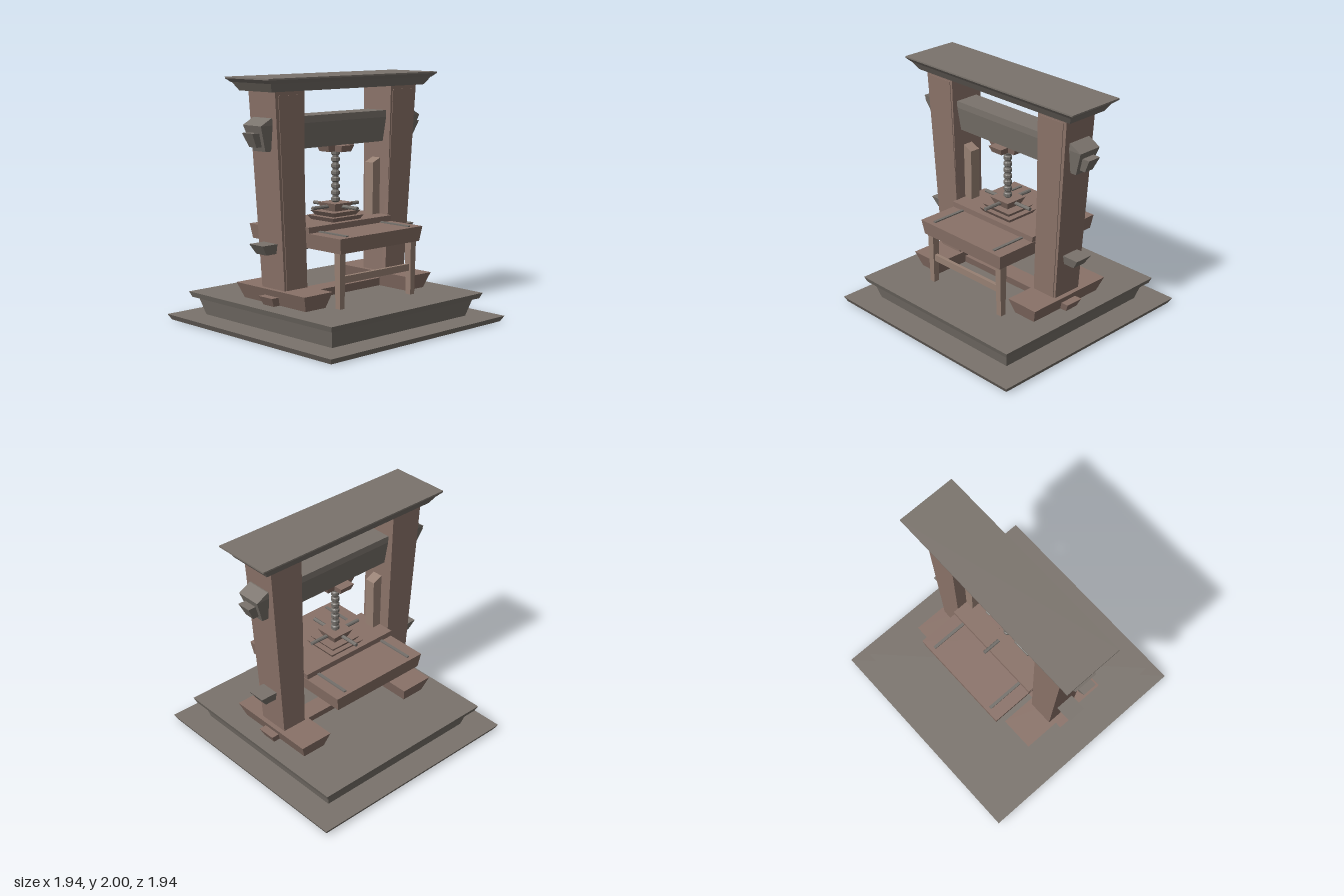
import * as THREE from 'three';

const mat = (color) => new THREE.MeshStandardMaterial({ color, flatShading: true });
const stone = mat(0x7a736c), wood = mat(0x8a7268), paleWood = mat(0x978073), iron = mat(0x74706b);

// Tapered block between two heights; each rect is [x0, x1, z0, z1]
function block(name, material, y0, bottom, y1, top) {
  const geo = new THREE.BoxGeometry(1, 1, 1);
  const p = geo.attributes.position;
  for (let i = 0; i < p.count; i++) {
    const up = p.getY(i) > 0, r = up ? top : bottom;
    p.setXYZ(i, p.getX(i) > 0 ? r[1] : r[0], up ? y1 : y0, p.getZ(i) > 0 ? r[3] : r[2]);
  }
  geo.computeVertexNormals();
  const mesh = new THREE.Mesh(geo, material);
  mesh.name = name;
  return mesh;
}

// Rect centred on the origin, from half sizes
const mid = (x, z) => [-x, x, -z, z];
// Rect on one side, from inner and outer distance
const side = (s, inner, outer, z0, z1) =>
  [Math.min(s * inner, s * outer), Math.max(s * inner, s * outer), z0, z1];

export function createModel() {
  const model = new THREE.Group();
  model.name = 'screwPress';
  const add = (...args) => model.add(block(...args));

  // Stepped base
  add('baseSlab', stone, 0, mid(0.945, 0.945), 0.045, mid(0.97, 0.97));
  add('baseBlock', stone, 0.045, mid(0.745, 0.745), 0.19, mid(0.787, 0.787));
  add('baseCap', stone, 0.19, mid(0.825, 0.825), 0.235, mid(0.843, 0.843));

  // Cross beams passing through the posts
  add('footBeam', wood, 0.235, mid(0.715, 0.06), 0.305, mid(0.75, 0.08));
  add('tableBeam', stone, 0.645, mid(0.785, 0.06), 0.725, mid(0.838, 0.08));
  add('mainBeam', stone, 1.44, mid(0.795, 0.07), 1.64, mid(0.868, 0.105));
  add('mainBeamTop', stone, 1.64, mid(0.868, 0.105), 1.695, mid(0.765, 0.105));
  add('mainBeamTenon', stone, 1.475, mid(0.86, 0.042), 1.585, mid(0.915, 0.06));

  // Top cornice
  add('corniceLower', stone, 1.895, mid(0.832, 0.187), 1.96, mid(0.873, 0.228));
  add('corniceUpper', stone, 1.96, mid(0.88, 0.232), 1.988, mid(0.917, 0.255));
  add('corniceSlab', stone, 1.988, mid(0.917, 0.255), 2, mid(0.917, 0.255));

  // Feet, posts, guides, table legs and table strips on both sides
  for (const s of [-1, 1]) {
    add('foot', wood, 0.235, side(s, 0.45, 0.655, -0.36, 0.36),
      0.36, side(s, 0.412, 0.705, -0.4, 0.4));
    add('post', wood, 0.36, side(s, 0.45, 0.665, -0.132, 0.132),
      1.895, side(s, 0.475, 0.77, -0.154, 0.154));
    add('postPanel', wood, 0.36, side(s, 0.435, 0.645, 0.1, 0.138),
      1.865, side(s, 0.497, 0.738, 0.12, 0.159));
    // Guide with a sloped top
    const guide = block('guide', paleWood, 0.72, side(s, 0.38, 0.5, -0.045, 0.045),
      1.265, side(s, 0.38, 0.5, -0.045, 0.045));
    const p = guide.geometry.attributes.position;
    for (let i = 0; i < p.count; i++)
      if (p.getY(i) > 1 && Math.abs(p.getX(i)) > 0.45) p.setY(i, 1.318);
    guide.geometry.computeVertexNormals();
    model.add(guide);
    add('tableLeg', paleWood, 0.235, side(s, 0.368, 0.415, 0.435, 0.485),
      0.68, side(s, 0.362, 0.422, 0.428, 0.493));
    add('tableStrip', iron, 0.78, side(s, 0.33, 0.355, -0.495, 0.49),
      0.8, side(s, 0.33, 0.355, -0.495, 0.49));
  }
  add('legStretcher', paleWood, 0.43, mid(0.38, 0).map((v, i) => (i < 2 ? v : [0.445, 0.475][i - 2])),
    0.485, [-0.38, 0.38, 0.445, 0.475]);

  // Press table
  add('tableTop', wood, 0.67, mid(0.435, 0.515), 0.79, mid(0.456, 0.53));
  add('tableBed', wood, 0.79, mid(0.452, 0.18), 0.838, mid(0.46, 0.182));

  // Stepped pressing head
  add('headPlate', wood, 0.838, mid(0.15, 0.13), 0.873, mid(0.173, 0.153));
  add('headStep', wood, 0.873, mid(0.122, 0.11), 0.91, mid(0.15, 0.135));
  add('headHub', wood, 0.91, mid(0.072, 0.072), 0.975, mid(0.1, 0.1));

  // Crossed turning handles
  for (const axis of ['x', 'z']) {
    const rod = new THREE.Mesh(new THREE.CylinderGeometry(0.015, 0.015, 0.505, 8), iron);
    rod.name = 'handleBar';
    rod.rotation[axis === 'x' ? 'z' : 'x'] = Math.PI / 2;
    rod.position.y = 0.947;
    model.add(rod);
  }

  // Screw shaft with ridged thread, turned as one profile
  const profile = [new THREE.Vector2(0, 0.96), new THREE.Vector2(0.026, 0.96)];
  const turns = 8, pitch = 0.43 / turns;
  for (let i = 0; i < turns; i++) {
    const y = 0.97 + i * pitch;
    for (const [r, t] of [[0.026, 0.15], [0.035, 0.3], [0.035, 0.75], [0.026, 0.9]])
      profile.push(new THREE.Vector2(r, y + t * pitch));
  }
  profile.push(new THREE.Vector2(0.026, 1.42), new THREE.Vector2(0, 1.42));
  const screw = new THREE.Mesh(new THREE.LatheGeometry(profile, 10), iron);
  screw.name = 'screw';
  model.add(screw);

  // Cross-shaped nut under the main beam
  add('nutBar', wood, 1.39, mid(0.123, 0.055), 1.442, mid(0.145, 0.068));
  add('nutCrossBar', wood, 1.389, mid(0.055, 0.123), 1.441, mid(0.068, 0.145));

  return model;
}
